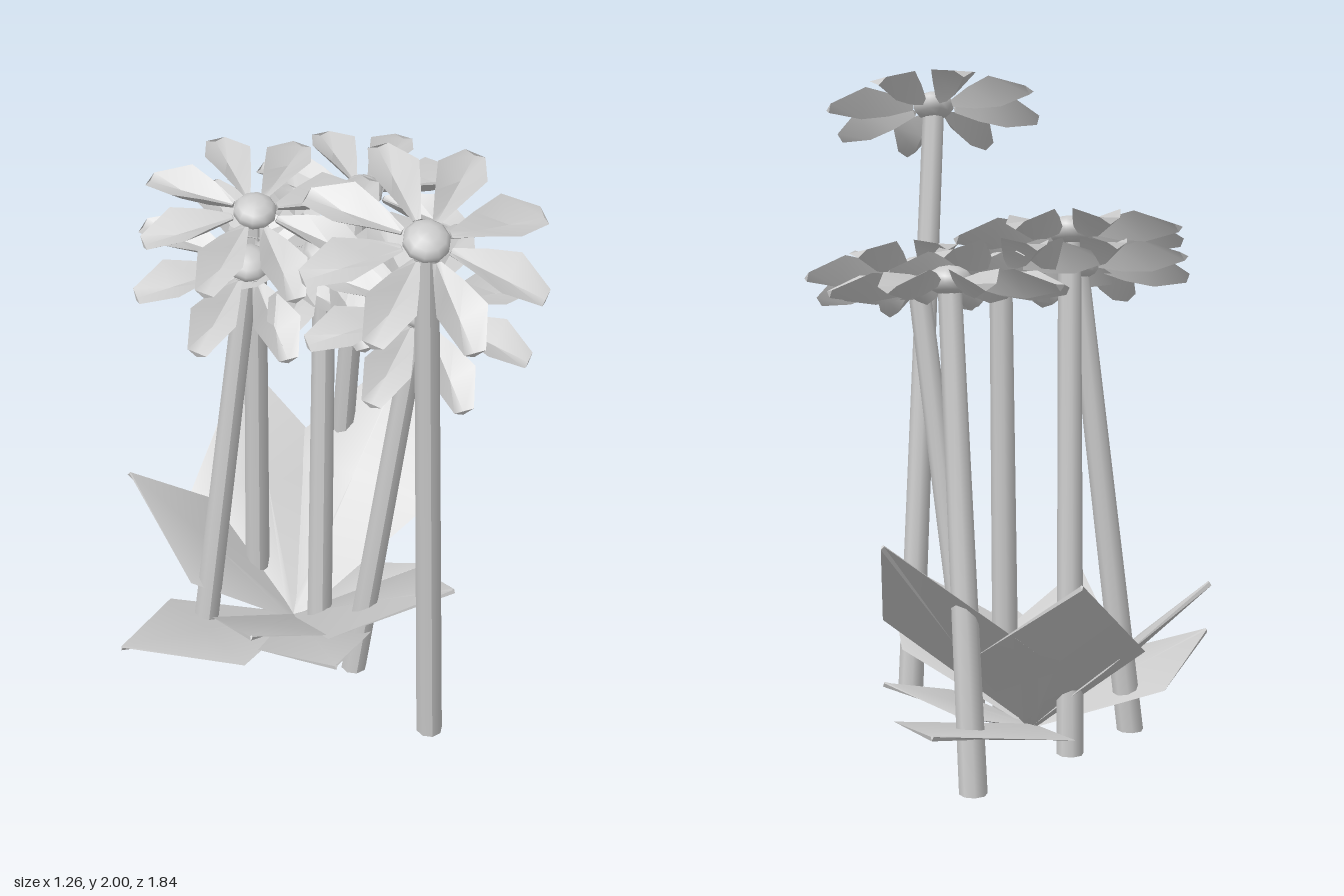
import * as THREE from 'three';
import { toCreasedNormals } from 'three/addons/utils/BufferGeometryUtils.js';

const material = new THREE.MeshStandardMaterial({ color: 0xcccccc, side: THREE.DoubleSide });

// Closed blade along +z; each station is [z, half width, rim y, top y, bottom y]
function blade(stations) {
  const pos = [], index = [];
  stations.forEach(([z, w, rim, top, bottom], i) => {
    pos.push(w, rim, z, 0, top, z, -w, rim, z, 0, bottom, z);
    if (!i) return;
    for (let k = 0; k < 4; k++) {
      const a = (i - 1) * 4 + k, b = (i - 1) * 4 + (k + 1) % 4;
      index.push(a, b, b + 4, a, b + 4, a + 4);
    }
  });
  const last = (stations.length - 1) * 4;
  index.push(0, 2, 1, 0, 3, 2, last, last + 1, last + 2, last, last + 2, last + 3);
  const geo = new THREE.BufferGeometry();
  geo.setAttribute('position', new THREE.Float32BufferAttribute(pos, 3));
  geo.setIndex(index);
  return toCreasedNormals(geo, 0.9);
}

// Boat-shaped petal: narrow root, wide past the middle, drooping blunt tip
const petalGeo = blade([
  [0.07, 0.012, 0.0, -0.005, -0.02],
  [0.15, 0.042, 0.015, -0.015, -0.045],
  [0.24, 0.072, 0.02, -0.025, -0.06],
  [0.345, 0.03, -0.025, -0.035, -0.045],
]);
const budGeo = new THREE.SphereGeometry(0.066, 10, 7);

// Stem between two points, cut level with the ground
function stem(base, head) {
  const geo = new THREE.CylinderGeometry(0.034, 0.041, 1, 8, 1);
  const p = geo.attributes.position;
  for (let i = 0; i < p.count; i++) {
    const t = p.getY(i) + 0.5;
    p.setXYZ(i,
      p.getX(i) + THREE.MathUtils.lerp(base[0], head[0], t),
      t * head[1],
      p.getZ(i) + THREE.MathUtils.lerp(base[1], head[2], t));
  }
  geo.computeVertexNormals();
  const mesh = new THREE.Mesh(geo, material);
  mesh.name = 'stem';
  return mesh;
}

function flower(base, head, tilt) {
  const group = new THREE.Group();
  group.name = 'flower';
  group.add(stem(base, head));
  const bloom = new THREE.Group();
  bloom.name = 'bloom';
  bloom.position.set(...head);
  bloom.rotation.x = tilt;
  const bud = new THREE.Mesh(budGeo, material);
  bud.name = 'flowerCentre';
  bud.scale.y = 0.65;
  bloom.add(bud);
  for (let i = 0; i < 8; i++) {
    const petal = new THREE.Mesh(petalGeo, material);
    petal.name = 'petal';
    petal.rotation.y = Math.PI / 2 + 0.17 - i * Math.PI / 4;
    bloom.add(petal);
  }
  group.add(bloom);
  return group;
}

// Kite-shaped leaf from the root to its tip
function leaf(root, tip) {
  const dir = new THREE.Vector3(...tip).sub(root);
  const len = dir.length();
  const geo = blade([
    [0, 0.02, 0, 0.005, -0.012],
    [len * 0.52, len * 0.3, 0, 0.006, -0.025],
    [len, 0.004, 0, 0.004, -0.012],
  ]);
  dir.normalize();
  const side = new THREE.Vector3(0, 1, 0).cross(dir).normalize();
  const up = dir.clone().cross(side);
  const mesh = new THREE.Mesh(geo, material);
  mesh.name = 'leaf';
  mesh.quaternion.setFromRotationMatrix(new THREE.Matrix4().makeBasis(side, up, dir));
  mesh.position.copy(root);
  return mesh;
}

export function createModel() {
  const model = new THREE.Group();
  model.name = 'flowerClump';

  // Stem foot [x, z], head [x, y, z], forward tilt
  [
    [[0.295, 0.45], [0.19, 1.875, 0.62], 0.44],
    [[0.13, 0.11], [0.29, 1.395, 0.20], 0.43],
    [[0.22, -0.60], [0.26, 1.445, -0.42], 0.17],
    [[-0.11, -0.29], [-0.12, 1.555, -0.18], 0.28],
    [[-0.33, -0.09], [-0.16, 1.44, -0.08], 0.38],
    [[0.05, -0.05], [0.07, 1.44, -0.09], 0.38],
  ].forEach(f => model.add(flower(...f)));

  // Rosette of leaves around the foot
  const root = new THREE.Vector3(-0.02, 0.04, -0.13);
  [
    [0.37, 0.28, -0.92], [-0.06, 0.64, -0.77], [0.47, 0.73, -0.60],
    [-0.51, 0.53, -0.36], [-0.62, 0.24, 0.15], [-0.25, 0.40, 0.37],
    [0.0, 0.29, 0.43], [0.38, 0.47, 0.36], [0.43, 0.19, -0.12],
  ].forEach(tip => model.add(leaf(root, tip)));

  return model;
}
